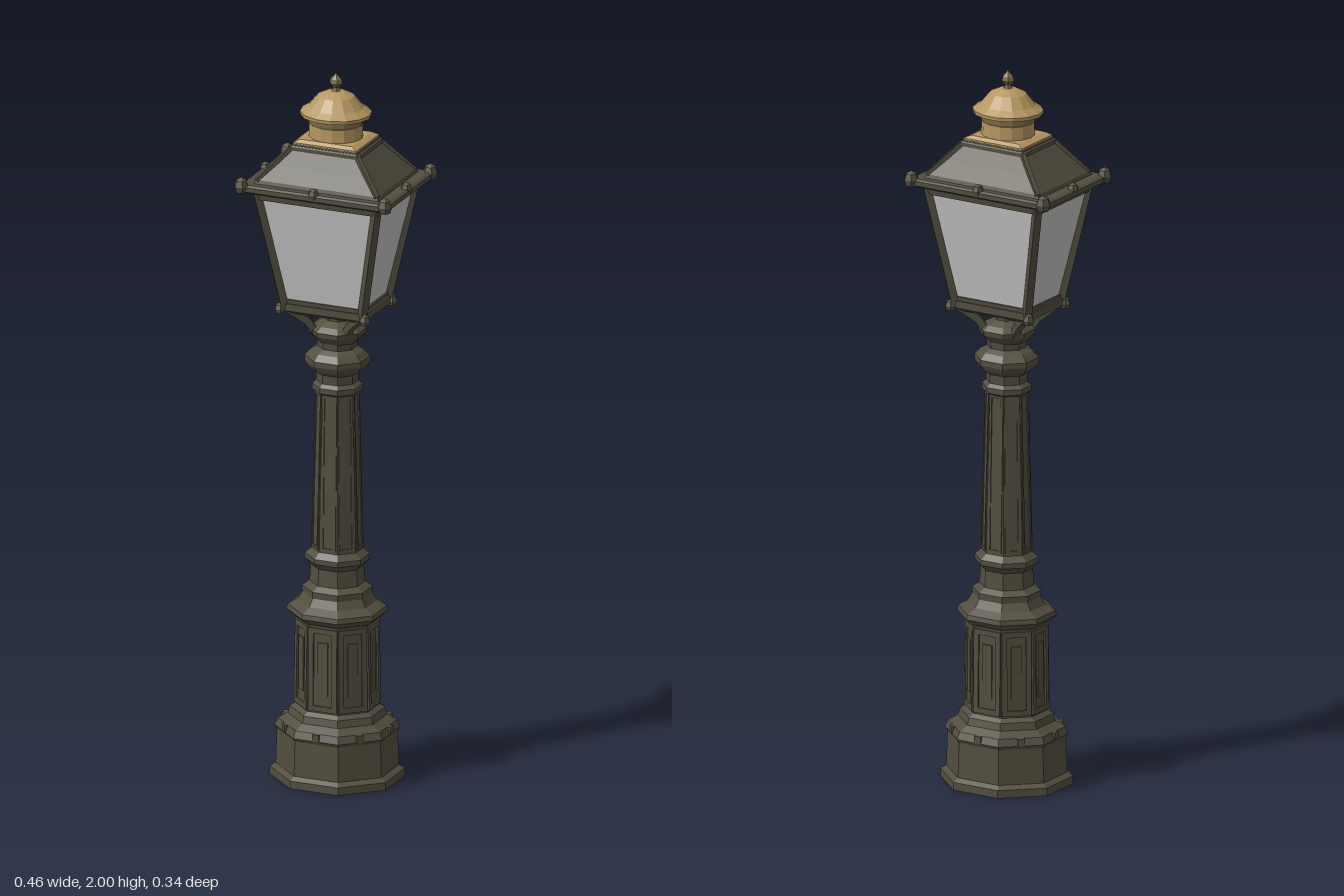
import * as THREE from 'three';

const iron = new THREE.MeshStandardMaterial({ color: 0x524e3f });
iron.name = 'olive iron';
const brass = new THREE.MeshStandardMaterial({ color: 0xb5965f });
brass.name = 'brass';
const bronze = new THREE.MeshStandardMaterial({ color: 0x7d6a45 });
bronze.name = 'dull bronze';
const glass = new THREE.MeshStandardMaterial({ color: 0xc4c4c4 });
glass.name = 'frosted glass';

// Splits faces apart so every facet is flat
function facet(geometry) {
  const g = geometry.index ? geometry.toNonIndexed() : geometry;
  g.computeVertexNormals();
  return g;
}

function add(parent, name, geometry, material, x = 0, y = 0, z = 0) {
  const mesh = new THREE.Mesh(geometry, material);
  mesh.name = name;
  mesh.position.set(x, y, z);
  parent.add(mesh);
  return mesh;
}

// Faceted turned part; profile rows are [apothem, y] from bottom to top
function turned(profile, sides = 8) {
  const k = 1 / Math.cos(Math.PI / sides);
  const points = profile.map(([r, y]) => new THREE.Vector2(r * k, y));
  return facet(new THREE.LatheGeometry(points, sides, Math.PI / sides));
}

// Rectangular loft; rows are [y, halfX, halfZ] from bottom to top
function loft(rows) {
  const n = rows.length - 1;
  const g = new THREE.BoxGeometry(2, 1, 2, 1, n, 1);
  const p = g.attributes.position;
  for (let i = 0; i < p.count; i++) {
    const [y, hx, hz] = rows[Math.round((p.getY(i) + 0.5) * n)];
    p.setXYZ(i, p.getX(i) * hx, y, p.getZ(i) * hz);
  }
  return facet(g);
}

// Straight square bar between two points
function bar(parent, name, from, to, size, material = iron) {
  const a = new THREE.Vector3(...from), b = new THREE.Vector3(...to);
  const mesh = add(parent, name, new THREE.BoxGeometry(size, size, a.distanceTo(b)), material);
  mesh.position.copy(a).lerp(b, 0.5);
  mesh.lookAt(b);
  return mesh;
}

// Rectangular border with an opening, standing in the xy plane
function border(w, h, rim, depth) {
  const s = new THREE.Shape();
  s.moveTo(-w / 2, 0).lineTo(w / 2, 0).lineTo(w / 2, h).lineTo(-w / 2, h).closePath();
  const hole = new THREE.Path();
  const x = w / 2 - rim;
  hole.moveTo(-x, rim).lineTo(-x, h - rim).lineTo(x, h - rim).lineTo(x, rim).closePath();
  s.holes.push(hole);
  return new THREE.ExtrudeGeometry(s, { depth, bevelEnabled: false });
}

function buildColumn() {
  const column = new THREE.Group();
  column.name = 'column';
  column.scale.z = 0.92;
  column.position.x = 0.004;

  add(column, 'base', turned([
    [0, 0], [0.17, 0], [0.17, 0.022], [0.155, 0.032], [0.152, 0.13], [0.158, 0.14],
    [0.15, 0.16], [0.125, 0.175], [0.12, 0.195], [0.106, 0.205],
  ]), iron);
  add(column, 'pedestal', turned([[0.106, 0.2], [0.102, 0.46]]), iron);
  add(column, 'pedestalCap', turned([
    [0.1, 0.45], [0.113, 0.457], [0.128, 0.472], [0.125, 0.485], [0.1, 0.5], [0.088, 0.522],
    [0.089, 0.54], [0.07, 0.553], [0.067, 0.6], [0.082, 0.618], [0.082, 0.632], [0.065, 0.648],
  ]), iron);
  add(column, 'shaft', turned([[0.065, 0.64], [0.062, 0.8], [0.053, 1.105]]), iron);
  add(column, 'capital', turned([
    [0.052, 1.09], [0.064, 1.1], [0.064, 1.115], [0.053, 1.125], [0.054, 1.15],
    [0.075, 1.165], [0.083, 1.18], [0.083, 1.195], [0.068, 1.212], [0.05, 1.222],
    [0.052, 1.24], [0.072, 1.262], [0.074, 1.275], [0.058, 1.288], [0.032, 1.3], [0.03, 1.35],
  ]), iron);

  // Panels repeat on all eight faces
  for (let i = 0; i < 8; i++) {
    const face = new THREE.Group();
    face.name = 'facePanels';
    face.rotation.y = i * Math.PI / 4;
    column.add(face);
    const frame = add(face, 'pedestalFrame', border(0.084, 0.235, 0.015, 0.007), iron, 0, 0.21, 0.104);
    frame.rotation.x = -0.0154;
    add(face, 'pedestalRaisedPanel', new THREE.BoxGeometry(0.03, 0.15, 0.006), iron, 0, 0.33, 0.105);
    const flute = add(face, 'shaftFrame', border(0.043, 0.44, 0.007, 0.004), iron, 0, 0.655, 0.064);
    flute.rotation.x = -0.025;
    add(face, 'baseBolt', new THREE.BoxGeometry(0.02, 0.02, 0.012), iron, 0, 0.15, 0.154);
  }
  return column;
}

function buildLantern() {
  const lantern = new THREE.Group();
  lantern.name = 'lantern';

  add(lantern, 'floorFrame', loft([[1.325, 0.108, 0.078], [1.335, 0.125, 0.092], [1.355, 0.125, 0.092]]), iron);
  add(lantern, 'glassBody', loft([[1.35, 0.112, 0.083], [1.675, 0.178, 0.13]]), glass);
  add(lantern, 'lowerRail', loft([[1.35, 0.118, 0.088], [1.367, 0.121, 0.09]]), iron);
  add(lantern, 'upperRail', loft([[1.655, 0.181, 0.133], [1.68, 0.187, 0.138]]), iron);
  add(lantern, 'eaves', loft([
    [1.672, 0.19, 0.14], [1.682, 0.218, 0.16], [1.695, 0.218, 0.16], [1.7, 0.21, 0.153],
  ]), iron);
  add(lantern, 'roof', loft([
    [1.695, 0.184, 0.135], [1.71, 0.178, 0.13], [1.75, 0.139, 0.105], [1.79, 0.102, 0.081], [1.808, 0.093, 0.077],
  ]), iron);
  add(lantern, 'roofCollar', loft([[1.79, 0.103, 0.082], [1.8, 0.103, 0.082], [1.804, 0.098, 0.08]]), iron);

  const knob = turned([[0, 0], [0.011, 0.002], [0.014, 0.014], [0.01, 0.026], [0, 0.032]], 6);
  for (const sx of [-1, 1]) {
    for (const sz of [-1, 1]) {
      bar(lantern, 'cornerPost', [sx * 0.114, 1.345, sz * 0.084], [sx * 0.177, 1.68, sz * 0.129], 0.02);
      bar(lantern, 'roofRib', [sx * 0.176, 1.708, sz * 0.128], [sx * 0.096, 1.798, sz * 0.077], 0.012);
      bar(lantern, 'supportBracket', [sx * 0.045, 1.268, sz * 0.036], [sx * 0.066, 1.305, sz * 0.05], 0.02);
      bar(lantern, 'supportBracket', [sx * 0.062, 1.298, sz * 0.047], [sx * 0.108, 1.34, sz * 0.08], 0.02);
      add(lantern, 'floorKnob', knob, iron, sx * 0.124, 1.325, sz * 0.091);
      const corner = add(lantern, 'eavesCornerKnob', knob, iron, sx * 0.21, 1.676, sz * 0.153);
      corner.scale.set(1.3, 1.4, 1.3);
    }
    add(lantern, 'eavesSideKnob', knob, iron, sx * 0.207, 1.685, 0);
    add(lantern, 'eavesFrontKnob', knob, iron, 0, 1.685, sx * 0.15);
  }
  return lantern;
}

function buildChimney() {
  const chimney = new THREE.Group();
  chimney.name = 'chimney';
  chimney.scale.z = 0.9;
  add(chimney, 'chimneyPlate', loft([[1.8, 0.093, 0.085], [1.812, 0.093, 0.085], [1.82, 0.076, 0.074]]), brass);
  add(chimney, 'flue', turned([[0.073, 1.812], [0.071, 1.862]], 14), brass);
  add(chimney, 'ventBand', turned([[0.071, 1.855], [0.074, 1.862], [0.074, 1.878]], 14), bronze);
  add(chimney, 'capUnderside', turned([[0.06, 1.878], [0.095, 1.88]], 14), bronze);
  add(chimney, 'cap', turned([
    [0.095, 1.88], [0.096, 1.89], [0.075, 1.904], [0.066, 1.915], [0.05, 1.935], [0.025, 1.947], [0, 1.95],
  ], 14), brass);
  add(chimney, 'finial', turned([
    [0.018, 1.942], [0.01, 1.95], [0.008, 1.958], [0.017, 1.97], [0.014, 1.982], [0.005, 1.992], [0, 2],
  ], 6), bronze);
  return chimney;
}

export function createModel() {
  const model = new THREE.Group();
  model.name = 'streetLamp';
  model.add(buildColumn(), buildLantern(), buildChimney());
  return model;
}
